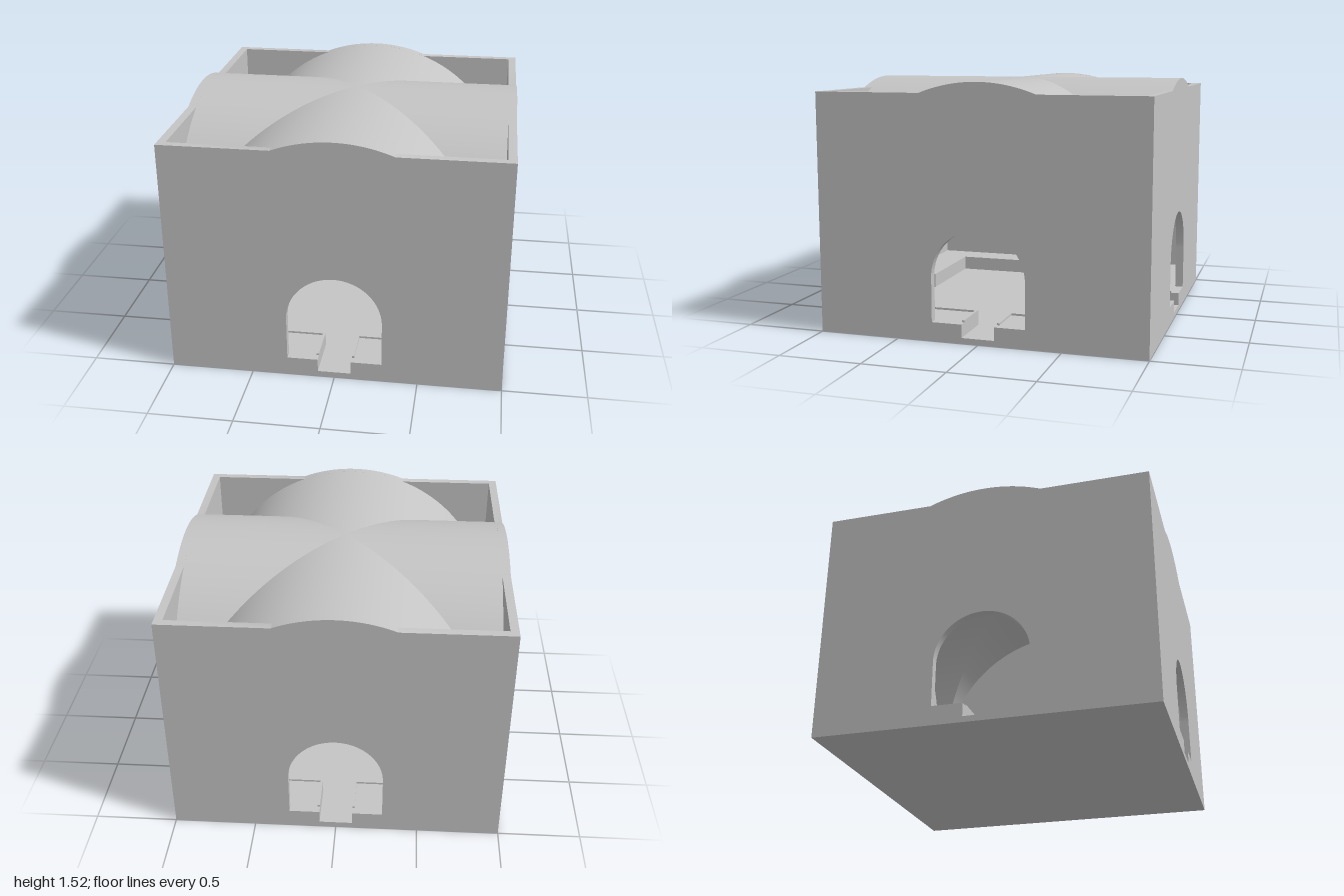
import * as THREE from 'three';
import { toCreasedNormals } from 'three/addons/utils/BufferGeometryUtils.js';

const WALL = 0.05, INNER = 0.95, TOP = 1.45;   // wall thickness, inner half width, parapet height
const SPRING = 0.566, R = 0.95;                // vault springing height and outer radius
const FLOOR = 0.035, BENCH = 0.115, GAP = 0.1, BENCH_IN = 0.71;

function extrude(shape, depth) {
  const g = new THREE.ExtrudeGeometry(shape, { depth, bevelEnabled: false, curveSegments: 40 });
  return toCreasedNormals(g, 0.5);
}

function polygon(points) {
  return new THREE.Shape(points.map(([x, y]) => new THREE.Vector2(x, y)));
}

// Wall with a parapet swelling over the vault, and an arched door with a channel notch
function wallGeometry(half) {
  const a = Math.asin((TOP - SPRING) / R);
  const s = new THREE.Shape();
  s.moveTo(-half, 0);
  s.lineTo(half, 0);
  s.lineTo(half, TOP);
  s.absarc(0, SPRING, R, a, Math.PI - a, false);
  s.lineTo(-half, TOP);
  s.closePath();

  const w = 0.285, door = new THREE.Path();
  door.moveTo(-GAP, FLOOR);
  door.lineTo(GAP, FLOOR);
  door.lineTo(GAP, BENCH);
  door.lineTo(w, BENCH);
  door.absarc(0, 0.385, w, 0, Math.PI, false);
  door.lineTo(-w, BENCH);
  door.lineTo(-GAP, BENCH);
  door.closePath();
  s.holes.push(door);
  return extrude(s, WALL);
}

// One of four groin vault sectors: a barrel cut off along both diagonals
function vaultSector(radius, inside) {
  const n = 64, pos = [], index = [];
  for (let i = 0; i <= n; i++) {
    const a = -Math.PI / 2 + (Math.PI * i) / n;
    const x = radius * Math.sin(a), y = SPRING + radius * Math.cos(a);
    pos.push(x, y, Math.abs(x), x, y, INNER);
    if (i < n) {
      const k = i * 2;
      if (inside) index.push(k, k + 2, k + 1, k + 1, k + 2, k + 3);
      else index.push(k, k + 1, k + 2, k + 1, k + 3, k + 2);
    }
  }
  const g = new THREE.BufferGeometry();
  g.setAttribute('position', new THREE.Float32BufferAttribute(pos, 3));
  g.setIndex(index);
  g.computeVertexNormals();
  return g;
}

export function createModel() {
  const model = new THREE.Group();
  model.name = 'vaultedHall';
  const stone = new THREE.MeshStandardMaterial({ color: 0xc4c4c4 });
  stone.name = 'grey stone';

  function add(name, geometry, turn = 0) {
    const m = new THREE.Mesh(geometry, stone);
    m.name = name;
    m.rotation.y = turn * Math.PI / 2;
    model.add(m);
    return m;
  }

  // Floor slab
  add('floor', new THREE.BoxGeometry(2 * INNER, FLOOR, 2 * INNER).translate(0, FLOOR / 2, 0));

  // Walls: front and back run full width, the sides fit between them
  const longWall = wallGeometry(1).translate(0, 0, INNER);
  const shortWall = wallGeometry(INNER).translate(0, 0, INNER);
  ['frontWall', 'leftWall', 'backWall', 'rightWall'].forEach((name, i) =>
    add(name, i % 2 ? shortWall : longWall, i));

  // Groin vault, outer and inner skins
  const outer = vaultSector(R, false), inner = vaultSector(R - WALL, true);

  // Corner benches with a low rim along their open edges
  const bench = extrude(polygon([
    [GAP, BENCH_IN], [BENCH_IN, BENCH_IN], [BENCH_IN, GAP],
    [INNER, GAP], [INNER, INNER], [GAP, INNER],
  ]), BENCH - FLOOR).rotateX(-Math.PI / 2).translate(0, FLOOR, 0);
  const t = 0.015;
  const rim = extrude(polygon([
    [GAP, INNER], [GAP, BENCH_IN], [BENCH_IN, BENCH_IN], [BENCH_IN, GAP], [INNER, GAP],
    [INNER, GAP + t], [BENCH_IN + t, GAP + t], [BENCH_IN + t, BENCH_IN + t],
    [GAP + t, BENCH_IN + t], [GAP + t, INNER],
  ]), 0.012).rotateX(-Math.PI / 2).translate(0, BENCH, 0);

  // Small blocks closing the vault at its four springing points
  const springer = new THREE.BoxGeometry(WALL, 0.02, WALL)
    .translate(INNER - WALL / 2, SPRING - 0.01, INNER - WALL / 2);

  for (let i = 0; i < 4; i++) {
    add('vaultRoof', outer, i);
    add('vaultCeiling', inner, i);
    add('cornerBench', bench, i);
    add('benchRim', rim, i);
    add('vaultSpringer', springer, i);
  }
  return model;
}
